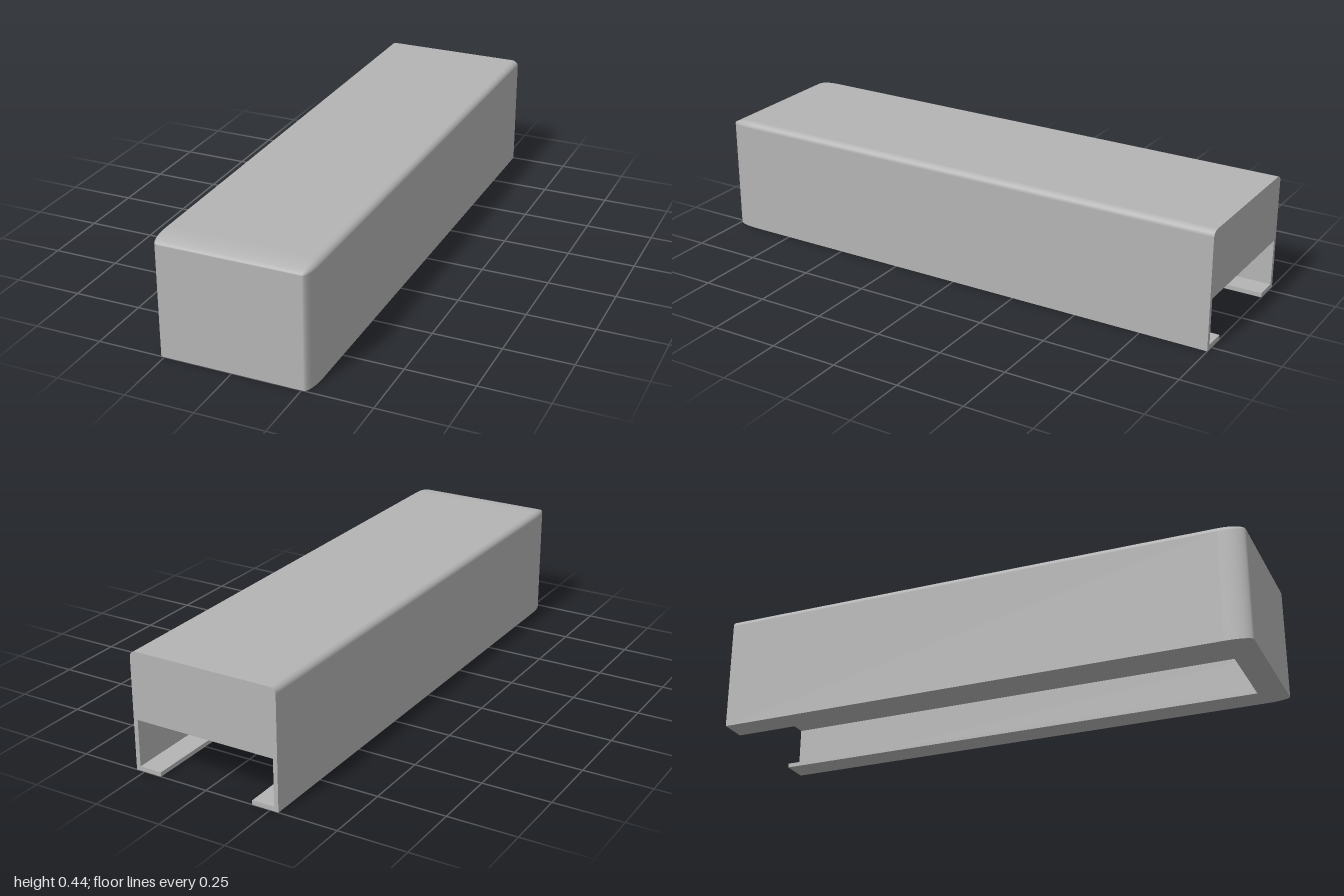
import * as THREE from 'three';

const W = 0.282, H = 0.435;              // half width, height
const RX = 0.025, RY = 0.022, RZ = 0.095; // radii of the softened edges
const WALL = 0.016, LIP = 0.1, ROOF = 0.188, INNER_FRONT = 0.985;
const STEPS = 10;

// Half width of the cover at an angle around its front corner
const halfAt = (a) => W - RX + RX * Math.cos(a);

// Outer skin: arch-shaped sections lofted from back to front
function skinGeometry() {
  const pos = [], nor = [], idx = [];
  const rings = [{ z: -1, a: 0 }];
  for (let i = 0; i <= STEPS; i++) {
    const a = (i / STEPS) * Math.PI / 2;
    rings.push({ z: 1 - RZ + RZ * Math.sin(a), a });
  }
  const add = (x, y, z, a, p) => {
    const n = new THREE.Vector3(
      Math.cos(a) * Math.cos(p) / RX, Math.cos(a) * Math.sin(p) / RY, Math.sin(a) / RZ).normalize();
    pos.push(x, y, z);
    nor.push(n.x, n.y, n.z);
  };
  for (const { z, a } of rings) {
    const c = Math.cos(a);
    add(halfAt(a), 0, z, a, 0);
    for (const side of [1, -1]) {
      for (let j = 0; j <= STEPS; j++) {
        const p = (j / STEPS) * Math.PI / 2 + (side < 0 ? Math.PI / 2 : 0);
        add(side * (W - RX) + RX * c * Math.cos(p), H - RY + RY * c * Math.sin(p), z, a, p);
      }
    }
    add(-halfAt(a), 0, z, a, Math.PI);
  }
  const n = 2 * STEPS + 4;
  for (let i = 0; i < rings.length - 1; i++) {
    for (let j = 0; j < n - 1; j++) {
      const a = i * n + j, b = a + 1, c = a + n, d = c + 1;
      idx.push(a, b, c, b, d, c);
    }
  }
  const g = new THREE.BufferGeometry();
  g.setAttribute('position', new THREE.Float32BufferAttribute(pos, 3));
  g.setAttribute('normal', new THREE.Float32BufferAttribute(nor, 3));
  g.setIndex(idx);
  return g;
}

// Back end: arch profile cut by the channel and its open slot
function backGeometry() {
  const s = new THREE.Shape();
  const w = W - WALL, l = W - LIP;
  s.moveTo(l, 0);
  s.lineTo(W, 0);
  s.lineTo(W, H - RY);
  s.absellipse(W - RX, H - RY, RX, RY, 0, Math.PI / 2, false);
  s.lineTo(-W + RX, H);
  s.absellipse(-W + RX, H - RY, RX, RY, Math.PI / 2, Math.PI, false);
  s.lineTo(-W, 0);
  s.lineTo(-l, 0);
  s.lineTo(-l, WALL);
  s.lineTo(-w, WALL);
  s.lineTo(-w, ROOF);
  s.lineTo(w, ROOF);
  s.lineTo(w, WALL);
  s.lineTo(l, WALL);
  s.closePath();
  return new THREE.ShapeGeometry(s, STEPS).rotateY(Math.PI).translate(0, 0, -1);
}

// Underside: U-shaped lip around the slot, drawn in x and z
function lipGeometry() {
  const s = new THREE.Shape();
  const e = 0.0005, l = W - LIP, f = 1 - LIP;
  s.moveTo(l, -1 + e);
  s.lineTo(W - e, -1 + e);
  s.lineTo(W - e, 1 - RZ);
  s.absellipse(W - RX, 1 - RZ, RX - e, RZ - e, 0, Math.PI / 2, false);
  s.lineTo(-W + RX, 1 - e);
  s.absellipse(-W + RX, 1 - RZ, RX - e, RZ - e, Math.PI / 2, Math.PI, false);
  s.lineTo(-W + e, -1 + e);
  s.lineTo(-l, -1 + e);
  s.lineTo(-l, f);
  s.lineTo(l, f);
  s.closePath();
  return new THREE.ExtrudeGeometry(s, { depth: WALL, bevelEnabled: false, curveSegments: STEPS })
    .rotateX(Math.PI / 2).translate(0, WALL, 0);
}

export function createModel() {
  const model = new THREE.Group();
  model.name = 'channelCover';
  const grey = new THREE.MeshStandardMaterial({ color: 0xb4b4b4 });
  grey.name = 'grey';
  const add = (name, geometry) => {
    const mesh = new THREE.Mesh(geometry, grey);
    mesh.name = name;
    model.add(mesh);
  };

  add('outerSkin', skinGeometry());
  add('frontFace', new THREE.PlaneGeometry(2 * (W - RX), H - RY).translate(0, (H - RY) / 2, 1));
  add('backFace', backGeometry());
  add('bottomLip', lipGeometry());

  // Inside of the channel: roof, two walls and the front end
  const w = W - WALL, len = INNER_FRONT + 1, midZ = (INNER_FRONT - 1) / 2;
  const h = ROOF - WALL, midY = (ROOF + WALL) / 2;
  add('channelRoof', new THREE.PlaneGeometry(2 * w, len).rotateX(Math.PI / 2).translate(0, ROOF, midZ));
  for (const side of [1, -1]) {
    add(side > 0 ? 'channelWallLeft' : 'channelWallRight',
      new THREE.PlaneGeometry(len, h).rotateY(-side * Math.PI / 2).translate(side * w, midY, midZ));
  }
  add('channelFrontEnd', new THREE.PlaneGeometry(2 * w, h).rotateY(Math.PI).translate(0, midY, INNER_FRONT));
  return model;
}
